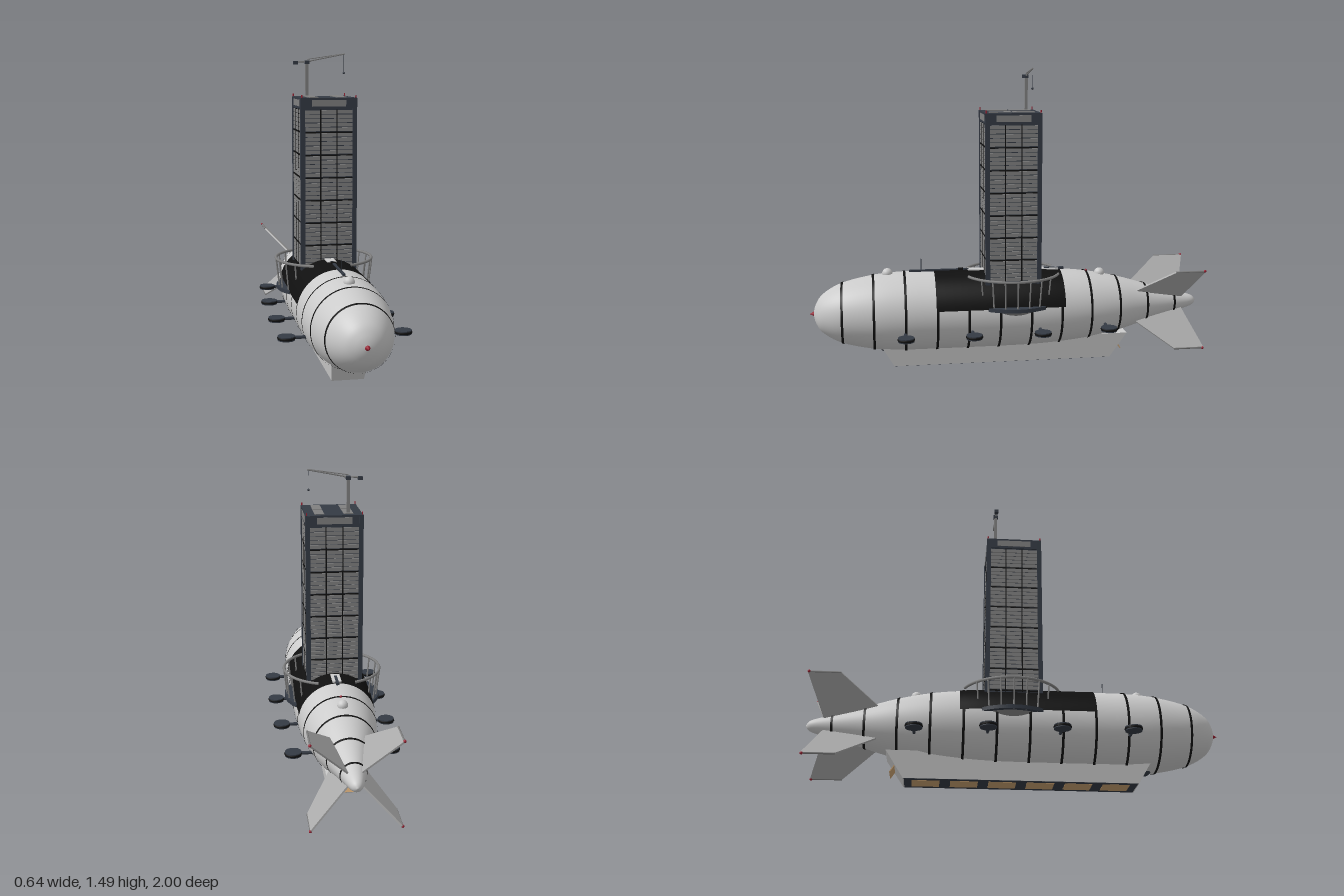
import * as THREE from 'three';

const mat = (color, side = THREE.FrontSide) => new THREE.MeshStandardMaterial({ color, side });
const GREY = mat(0xcccccc), PANEL = mat(0x808080), SLATE = mat(0x343a44), BLACK = mat(0x101010, THREE.DoubleSide);
const TAN = mat(0xc8a070), RED = mat(0x992233), FIN = mat(0xaaaaaa, THREE.DoubleSide);
const AXIS = 0.27; // height of the hull axis

function add(parent, name, geo, material, x = 0, y = 0, z = 0) {
  const m = new THREE.Mesh(geo, material);
  m.name = name;
  m.position.set(x, y, z);
  parent.add(m);
  return m;
}
const box = (w, h, d) => new THREE.BoxGeometry(w, h, d);
const ball = (r) => new THREE.SphereGeometry(r, 16, 10);

// round bar between two points
function bar(parent, name, a, b, r, material, sides = 6) {
  const p = new THREE.Vector3(...a), q = new THREE.Vector3(...b);
  const m = add(parent, name, new THREE.CylinderGeometry(r, r, p.distanceTo(q), sides), material);
  m.position.copy(p).lerp(q, 0.5);
  m.quaternion.setFromUnitVectors(new THREE.Vector3(0, 1, 0), q.sub(p).normalize());
  return m;
}

// hull profile as (radius, z), tail to nose
const profile = new THREE.SplineCurve([
  [0.002, -1], [0.028, -0.975], [0.055, -0.88], [0.093, -0.74], [0.14, -0.58], [0.173, -0.42], [0.19, -0.26],
  [0.198, -0.1], [0.2, 0.1], [0.2, 0.4], [0.198, 0.55], [0.185, 0.69], [0.15, 0.84], [0.1, 0.93], [0.05, 0.967], [0.002, 0.98],
].map((p) => new THREE.Vector2(...p))).getPoints(75);

function radiusAt(z) {
  const i = Math.max(1, profile.findIndex((p) => p.y >= z));
  const a = profile[i - 1], b = profile[i];
  return a.x + (b.x - a.x) * (z - a.y) / (b.y - a.y);
}

// strip of the hull skin between two stations, standing off by a little
function skin(z0, z1, off, steps, phi = 0, sweep = Math.PI * 2) {
  const pts = [];
  for (let i = 0; i <= steps; i++) {
    const z = z0 + (z1 - z0) * i / steps;
    pts.push(new THREE.Vector2(radiusAt(z) + off, z));
  }
  return new THREE.LatheGeometry(pts, 48, phi, sweep).rotateX(Math.PI / 2);
}

function buildHull(g) {
  add(g, 'hull', new THREE.LatheGeometry(profile, 48).rotateX(Math.PI / 2), GREY, 0, AXIS);
  for (let i = 0; i < 12; i++) {
    const z = 0.837 - i * 0.1555;
    add(g, 'hullBand', skin(z - 0.006, z + 0.006, 0.004, 1), BLACK, 0, AXIS);
  }
  // dark covering over the upper hull around the tower
  add(g, 'saddle', skin(-0.27, 0.37, 0.0025, 16, Math.PI - 1.37, 2.74), BLACK, 0, AXIS);
  add(g, 'noseCap', new THREE.ConeGeometry(0.016, 0.03, 12).rotateX(Math.PI / 2), RED, 0, AXIS, 0.985);
  for (const z of [0.61, -0.48]) add(g, 'topDome', ball(0.026), GREY, 0, AXIS + radiusAt(z) + 0.002, z);
  add(g, 'chinDome', ball(0.03), SLATE, 0, 0.092, 0.63);
  // narrow walkway and aerials along the spine
  add(g, 'spineRail', box(0.012, 0.01, 0.3), SLATE, 0, 0.474, 0.35);
  add(g, 'spineWalk', box(0.045, 0.008, 0.09), GREY, 0, 0.472, 0.16);
  add(g, 'spineWalk', box(0.045, 0.008, 0.1), GREY, 0, 0.465, -0.21);
  add(g, 'spineRail', box(0.014, 0.012, 0.1), SLATE, 0, 0.466, -0.24);
  add(g, 'spineHatch', box(0.022, 0.014, 0.025), BLACK, 0, 0.475, 0.24);
  bar(g, 'aerial', [0, 0.46, 0.44], [0, 0.535, 0.44], 0.002, SLATE);
  add(g, 'spineLamp', ball(0.006), RED, 0, 0.45, -0.41);
}

function buildKeel(g) {
  // box narrowed towards the floor and raked at both ends
  const geo = box(0.18, 0.13, 1);
  const p = geo.attributes.position;
  for (let i = 0; i < p.count; i++) {
    const low = p.getY(i) < 0, fore = p.getZ(i) > 0;
    if (low) p.setX(i, Math.sign(p.getX(i)) * 0.075);
    p.setZ(i, fore ? (low ? 0.585 : 0.66) : (low ? -0.525 : -0.61));
  }
  geo.computeVertexNormals();
  add(g, 'keelCabin', geo, GREY, 0, 0.067);
  add(g, 'keelFloor', box(0.148, 0.004, 1.1), SLATE, 0, 0.003, 0.03);
  for (let i = 0; i < 6; i++) add(g, 'floorWindow', box(0.1, 0.003, 0.13), TAN, 0, 0.0015, 0.48 - i * 0.18);
  add(g, 'rearWindow', box(0.11, 0.07, 0.004), TAN, 0, 0.067, -0.569).rotation.x = 0.577;
}

function buildPods(g) {
  for (const [z, x] of [[0.53, 0.275], [0.2, 0.275], [-0.14, 0.267], [-0.48, 0.235]]) {
    for (const s of [-1, 1]) {
      const pod = new THREE.Group();
      pod.name = 'thrusterPod';
      pod.position.set(s * x, 0.2, z);
      g.add(pod);
      add(pod, 'podDisc', new THREE.CylinderGeometry(0.04, 0.04, 0.02, 20), SLATE);
      add(pod, 'podRim', new THREE.TorusGeometry(0.037, 0.006, 6, 20).rotateX(Math.PI / 2), BLACK);
      bar(pod, 'podArm', [0, 0, 0], [-s * 0.12, 0, 0], 0.008, SLATE);
    }
  }
}

function buildFins(g) {
  const shape = new THREE.Shape([[0.1, 0.64], [0.282, 0.83], [0.282, 0.985], [0.03, 0.91]].map((p) => new THREE.Vector2(...p)));
  for (let i = 0; i < 4; i++) {
    const fin = new THREE.Group();
    fin.name = 'tailFin';
    fin.position.y = AXIS;
    fin.rotation.z = Math.PI / 4 + i * Math.PI / 2;
    g.add(fin);
    const blade = new THREE.ExtrudeGeometry(shape, { depth: 0.008, bevelEnabled: false });
    add(fin, 'finBlade', blade.translate(0, 0, -0.004).rotateX(-Math.PI / 2), FIN);
    bar(fin, 'finEdge', [0.282, 0, -0.83], [0.282, 0, -0.985], 0.005, PANEL);
    add(fin, 'finLamp', ball(0.007), RED, 0.284, 0, -0.98);
  }
}

function buildTower(g) {
  const t = new THREE.Group();
  t.name = 'tower';
  t.position.z = -0.0125;
  g.add(t);
  add(t, 'towerCore', box(0.262, 0.86, 0.262), SLATE, 0, 0.835);
  for (const x of [-1, 1]) for (const z of [-1, 1]) {
    add(t, 'cornerPost', box(0.022, 0.85, 0.022), SLATE, x * 0.129, 0.845, z * 0.129);
    bar(t, 'cornerAerial', [x * 0.134, 1.265, z * 0.134], [x * 0.134, 1.285, z * 0.134], 0.003, RED);
  }
  // four matching facades of slatted panels
  const floors = 7, rise = 0.112;
  for (let k = 0; k < 4; k++) {
    const f = new THREE.Group();
    f.name = 'facade';
    f.rotation.y = k * Math.PI / 2;
    t.add(f);
    for (let r = 0; r < floors; r++) {
      const y = 1.215 - r * rise;
      add(f, 'floorLine', box(0.25, 0.006, 0.008), BLACK, 0, y - rise, 0.132);
      for (const x of [-0.081, 0, 0.081]) for (let s = 0; s < 5; s++)
        add(f, 'slat', box(0.075, 0.0175, 0.008), PANEL, x, y - 0.0125 - s * 0.021, 0.132);
    }
    for (const x of [-0.0405, 0.0405]) add(f, 'mullion', box(0.005, 0.79, 0.01), BLACK, x, 0.82, 0.132);
    add(f, 'crownBand', box(0.25, 0.05, 0.012), SLATE, 0, 1.243, 0.132);
    add(f, 'crownPanel', box(0.17, 0.032, 0.006), PANEL, 0, 1.245, 0.137);
  }
  add(t, 'roof', box(0.276, 0.01, 0.276), SLATE, 0, 1.266);
  for (const x of [-0.07, 0.07]) for (const z of [-0.058, 0.058])
    add(t, 'roofPanel', box(0.046, 0.006, 0.108), PANEL, x, 1.272, z);
}

function buildCrane(g) {
  const c = new THREE.Group();
  c.name = 'crane';
  c.position.set(-0.07, 0, -0.105);
  g.add(c);
  add(c, 'craneMast', box(0.015, 0.18, 0.015), PANEL, 0, 1.355);
  add(c, 'craneCab', box(0.022, 0.016, 0.022), SLATE, 0, 1.442);
  bar(c, 'jibLower', [-0.06, 1.444, 0], [0.02, 1.447, 0], 0.004, PANEL);
  bar(c, 'jibLower', [0, 1.446, 0], [0.195, 1.484, 0], 0.004, PANEL);
  bar(c, 'jibUpper', [0, 1.457, 0], [0.195, 1.486, 0], 0.0025, PANEL);
  add(c, 'counterweight', box(0.022, 0.016, 0.02), SLATE, -0.058, 1.44);
  bar(c, 'cable', [0.19, 1.483, 0], [0.19, 1.39, 0], 0.0007, SLATE);
  add(c, 'hook', ball(0.006), SLATE, 0.19, 1.388);
}

function buildBalconies(g) {
  for (const s of [0, 1]) {
    const b = new THREE.Group();
    b.name = 'balcony';
    b.position.z = -0.02;
    b.rotation.y = s * Math.PI;
    g.add(b);
    // curved rail, sloping posts and a curved deck beneath
    const rail = new THREE.TorusGeometry(0.244, 0.007, 6, 40, 2.4).rotateZ(-1.2).rotateX(Math.PI / 2);
    add(b, 'balconyRail', rail, PANEL, 0, 0.455);
    for (let i = -3; i <= 3; i++) {
      const a = i * 0.26, co = Math.cos(a), si = Math.sin(a);
      bar(b, 'balconyPost', [0.246 * co, 0.455, 0.246 * si], [0.228 * co, 0.3, 0.228 * si], 0.004, PANEL);
    }
    const deck = new THREE.Shape();
    deck.absarc(0, 0, 0.242, -0.8, 0.8, false);
    deck.absarc(0, 0, 0.16, 0.8, -0.8, true);
    const slab = new THREE.ExtrudeGeometry(deck, { depth: 0.018, bevelEnabled: false, curveSegments: 20 });
    add(b, 'balconyDeck', slab.rotateX(-Math.PI / 2), SLATE, 0, 0.3);
    add(b, 'deckBracket', new THREE.CylinderGeometry(0.22, 0.195, 0.03, 20, 1, false, Math.PI / 2 - 0.52, 1.04), PANEL, 0, 0.286);
  }
}

export function createModel() {
  const g = new THREE.Group();
  g.name = 'airshipWithTower';
  for (const build of [buildHull, buildKeel, buildPods, buildFins, buildTower, buildCrane, buildBalconies]) build(g);
  return g;
}
